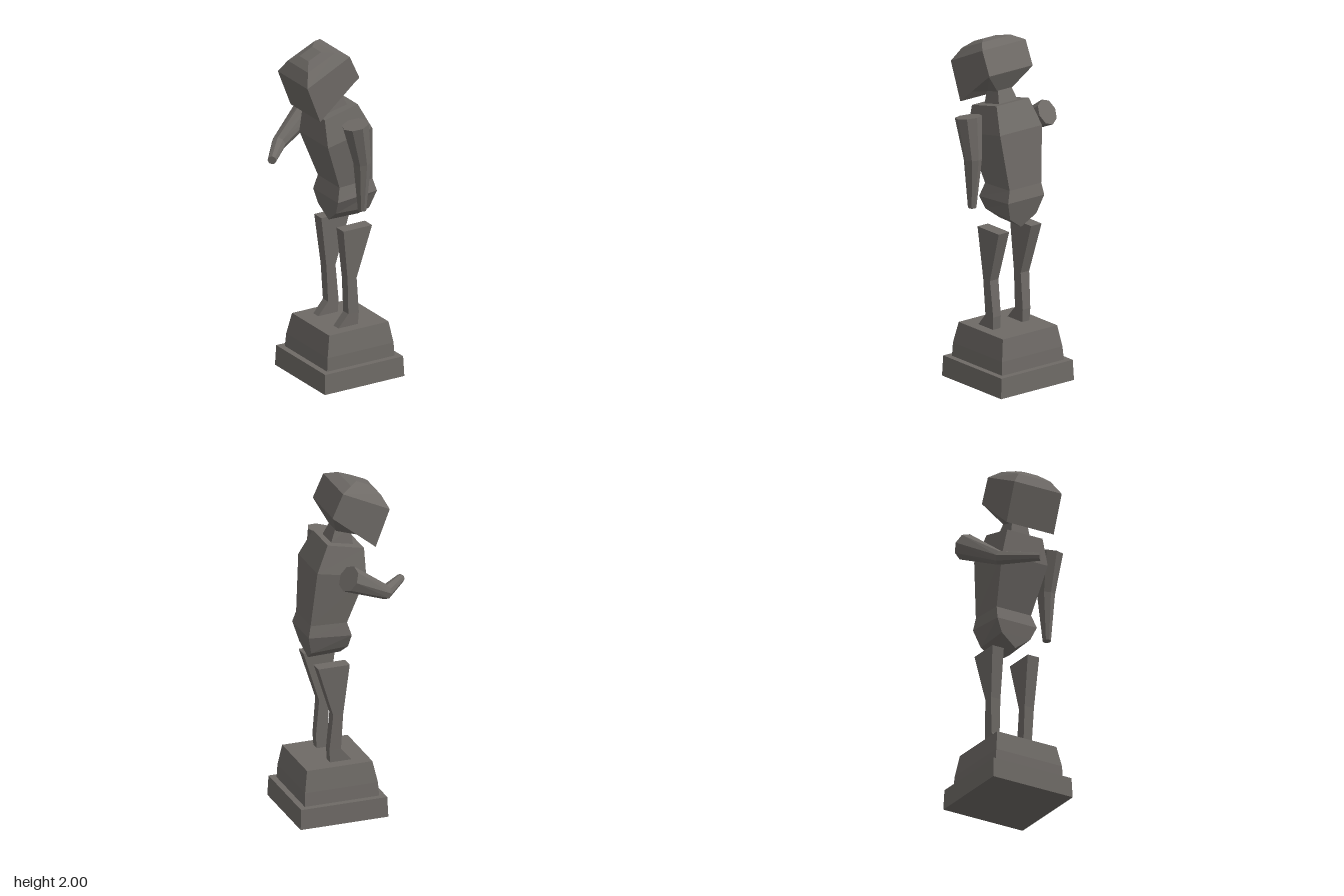
import * as THREE from 'three';

const V = (x, y, z) => new THREE.Vector3(x, y, z);

// Skin a stack of equal-length rings (counter-clockwise about the stacking direction) and cap both ends
function loft(rings) {
  const pos = [];
  const tri = (a, b, c) => [a, b, c].forEach(p => pos.push(p.x, p.y, p.z));
  const n = rings[0].length;
  for (let i = 0; i < rings.length - 1; i++) {
    const lo = rings[i], hi = rings[i + 1];
    for (let j = 0; j < n; j++) {
      const k = (j + 1) % n;
      tri(lo[j], lo[k], hi[k]);
      tri(lo[j], hi[k], hi[j]);
    }
  }
  const first = rings[0], last = rings[rings.length - 1];
  for (let j = 1; j < n - 1; j++) {
    tri(first[0], first[j + 1], first[j]);
    tri(last[0], last[j], last[j + 1]);
  }
  const g = new THREE.BufferGeometry();
  g.setAttribute('position', new THREE.Float32BufferAttribute(pos, 3));
  g.computeVertexNormals();
  return g;
}

// Four-cornered section, tilted between its front edge (x, y) and back edge (x, y)
const section = ([xf, yf, xb, yb, z0, z1]) =>
  [V(xf, yf, z1), V(xb, yb, z1), V(xb, yb, z0), V(xf, yf, z0)];
const block = sections => loft(sections.map(section));

// Tapered eight-sided limb through joints, mitred at the elbow
function limb(joints, radii, ref) {
  return loft(joints.map((p, i) => {
    const t = V(0, 0, 0);
    if (i > 0) t.add(p.clone().sub(joints[i - 1]).normalize());
    if (i < joints.length - 1) t.add(joints[i + 1].clone().sub(p).normalize());
    t.normalize();
    const u = ref.clone().addScaledVector(t, -ref.dot(t)).normalize();
    const v = t.clone().cross(u);
    return Array.from({ length: 8 }, (_, k) => {
      const a = k * Math.PI / 4;
      return p.clone().addScaledVector(u, Math.cos(a) * radii[i]).addScaledVector(v, Math.sin(a) * radii[i]);
    });
  }));
}

export function createModel() {
  const group = new THREE.Group();
  const stone = new THREE.MeshStandardMaterial({ color: 0x6e6a66, flatShading: true });
  stone.name = 'dark stone';
  const add = (name, geometry) => {
    const mesh = new THREE.Mesh(geometry, stone);
    mesh.name = name;
    group.add(mesh);
  };

  // Stepped pedestal
  add('plinth', block([
    [-0.18, 0, 0.35, 0, -0.24, 0.29],
    [-0.175, 0.12, 0.345, 0.12, -0.235, 0.285],
  ]));
  add('pedestal', block([
    [-0.14, 0.115, 0.31, 0.115, -0.2, 0.25],
    [-0.135, 0.2, 0.305, 0.2, -0.192, 0.247],
    [-0.11, 0.325, 0.285, 0.325, -0.17, 0.225],
  ]));

  // Legs with pointed feet, mirrored about the body's middle
  const mid = 0.03;
  for (const side of [-1, 1]) {
    const leg = [
      [-0.01, 0.325, 0.12, 0.325, 0.08, 0.133],
      [0.055, 0.4, 0.125, 0.4, 0.08, 0.135],
      [0.045, 0.615, 0.105, 0.615, 0.081, 0.143],
      [0.01, 0.92, 0.2, 0.92, 0.08, 0.156],
    ].map(([a, b, c, d, i, o]) => side > 0
      ? [a, b, c, d, mid + i, mid + o]
      : [a, b, c, d, mid - o, mid - i]);
    add(side > 0 ? 'leftLeg' : 'rightLeg', block(leg));
  }

  // Torso from the ridge below the hips up to the shoulders
  add('torso', block([
    [0.01, 0.94, 0.205, 0.935, 0.026, 0.028],
    [0, 1.01, 0.222, 1.0, -0.07, 0.12],
    [-0.01, 1.09, 0.25, 1.11, -0.105, 0.158],
    [0.015, 1.17, 0.235, 1.18, -0.095, 0.135],
    [-0.09, 1.45, 0.205, 1.51, -0.125, 0.18],
    [-0.09, 1.61, 0.13, 1.66, -0.09, 0.145],
  ]));
  add('neck', block([
    [-0.045, 1.6, 0.09, 1.65, -0.04, 0.095],
    [-0.035, 1.72, 0.055, 1.73, -0.02, 0.075],
  ]));

  // Bowed head: underside, jaw, brow and faceted crown
  add('head', block([
    [-0.035, 1.69, 0.055, 1.71, -0.02, 0.075],
    [-0.09, 1.7, 0.113, 1.837, -0.13, 0.185],
    [-0.145, 1.625, 0.115, 1.842, -0.13, 0.185],
    [-0.23, 1.845, 0.052, 1.98, -0.13, 0.185],
    [-0.195, 1.92, -0.015, 2.0, -0.08, 0.133],
    [-0.155, 1.96, -0.07, 1.998, -0.02, 0.075],
  ]));

  // Left arm hangs, right arm reaches forward
  add('leftArm', limb(
    [V(0.035, 1.6, 0.272), V(0.078, 1.36, 0.275), V(0.075, 1.07, 0.278)],
    [0.078, 0.052, 0.024], V(0, 0, 1)));
  add('rightArm', limb(
    [V(0.072, 1.52, -0.272), V(-0.18, 1.37, -0.2), V(-0.335, 1.36, -0.025)],
    [0.077, 0.042, 0.025], V(0, 1, 0)));

  return group;
}
